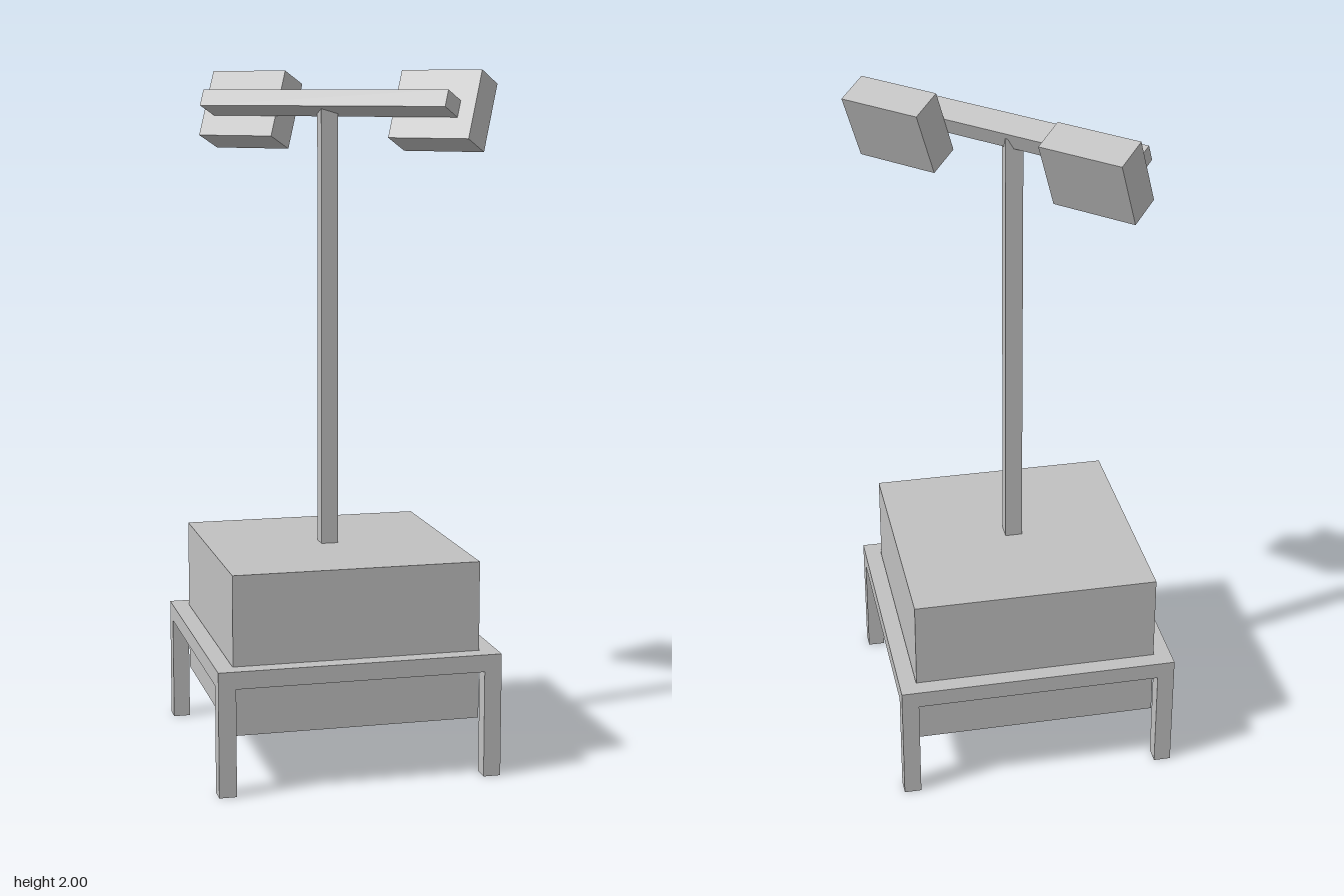
import * as THREE from 'three';

export function createModel() {
  const model = new THREE.Group();
  model.name = 'floodlightStand';
  const grey = new THREE.MeshStandardMaterial({ color: 0xc0c0c0 });
  grey.name = 'light grey';

  const box = (parent, name, [w, h, d], [x, y, z]) => {
    const mesh = new THREE.Mesh(new THREE.BoxGeometry(w, h, d), grey);
    mesh.name = name;
    mesh.position.set(x, y, z);
    parent.add(mesh);
    return mesh;
  };

  // Base, centred under the post
  const base = new THREE.Group();
  base.name = 'base';
  base.position.set(-0.019, 0, 0.01);
  model.add(base);
  box(base, 'body', [0.717, 0.46, 0.717], [0, 0.39, 0]);

  // Frame rails and legs around the body
  const size = 0.82, bar = 0.05, off = (size - bar) / 2;
  for (const side of [-1, 1]) {
    box(base, 'sideRail', [bar, bar, size], [side * off, 0.335, 0]);
    box(base, 'crossRail', [size - 2 * bar, bar, bar], [0, 0.335, side * off]);
    for (const end of [-1, 1]) {
      box(base, 'leg', [bar, 0.31, bar], [side * off, 0.155, end * off]);
    }
  }

  // Post
  box(base, 'post', [0.05, 1.285, 0.05], [0, 1.2575, 0]);

  // Lamp head: turned diagonally, each part tilted towards the back
  const head = new THREE.Group();
  head.name = 'lampHead';
  head.rotation.y = -Math.PI / 4;
  model.add(head);
  const tilt = -Math.PI / 8;
  box(head, 'crossbar', [0.82, 0.05, 0.08], [-0.005, 1.908, 0.029]).rotation.x = tilt;
  for (const side of [-1, 1]) {
    box(head, 'floodlight', [0.256, 0.205, 0.102], [side * 0.325, 1.887, -0.06]).rotation.x = tilt;
  }
  return model;
}
